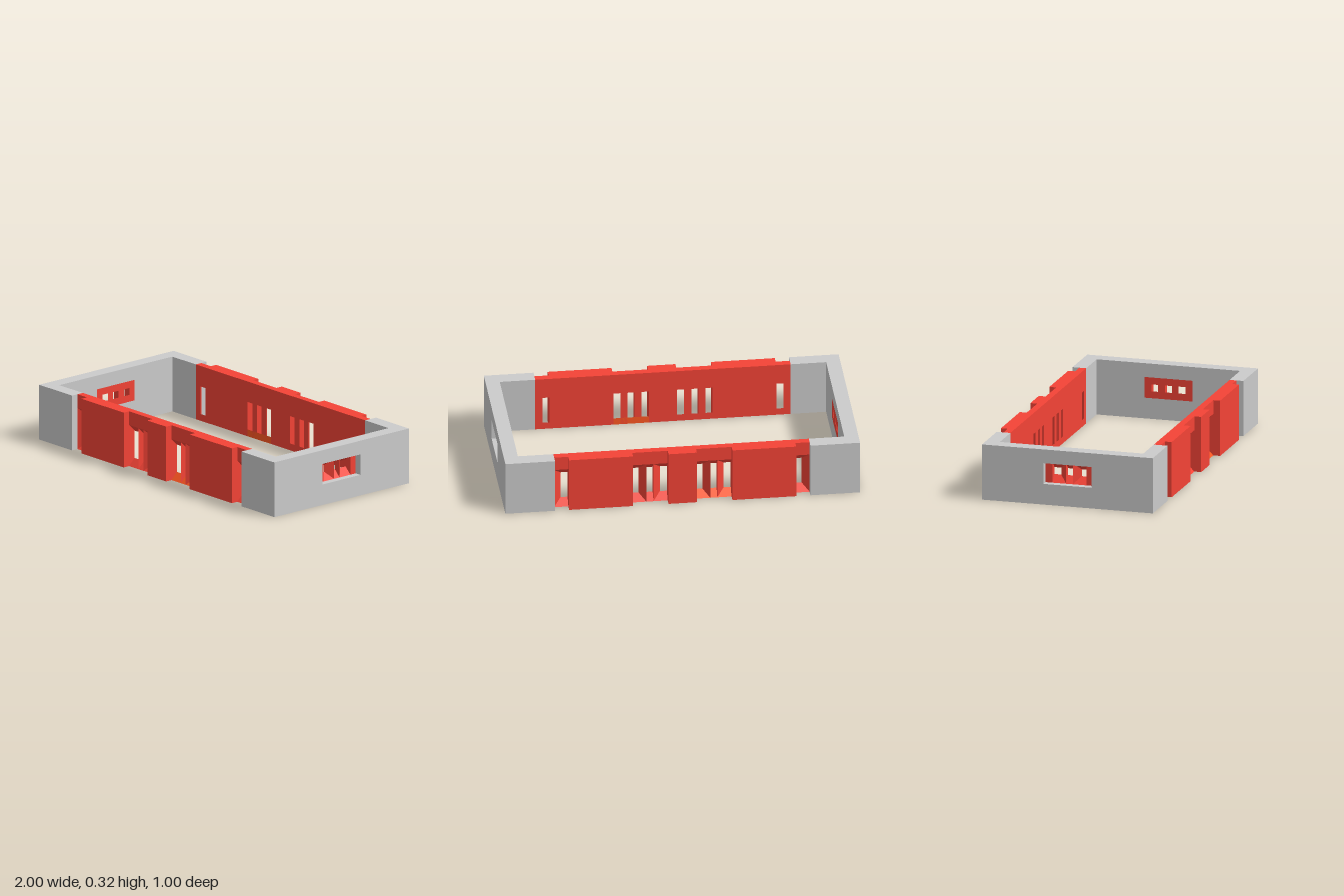
import * as THREE from 'three';

const H = 0.32, T = 0.08, D = 0.04; // wall height, wall thickness, panel thickness
const mat = (color) => new THREE.MeshStandardMaterial({ color, flatShading: true });
const grey = mat(0xcccccc), red = mat(0xf44336), orange = mat(0xff5722);

function add(group, name, geometry, material) {
  const mesh = new THREE.Mesh(geometry, material);
  mesh.name = name;
  group.add(mesh);
  return mesh;
}

function box(group, name, x0, x1, y0, y1, z0, z1, material) {
  const g = new THREE.BoxGeometry(x1 - x0, y1 - y0, z1 - z0);
  g.translate((x0 + x1) / 2, (y0 + y1) / 2, (z0 + z1) / 2);
  return add(group, name, g, material);
}

const extrude = (points, depth) => new THREE.ExtrudeGeometry(
  new THREE.Shape(points.map(([a, b]) => new THREE.Vector2(a, b))), { depth, bevelEnabled: false });

// Prism along x, section given as [z, y]
const prismX = (section, x0, x1) =>
  extrude(section.map(([z, y]) => [-z, y]), x1 - x0).rotateY(Math.PI / 2).translate(x0, 0, 0);

// Prism along y, plan given as [x, z]
const prismY = (plan, y0, y1) =>
  extrude(plan.map(([x, z]) => [x, -z]), y1 - y0).rotateX(-Math.PI / 2).translate(0, y0, 0);

// Sloping sill and soffit, narrowing the opening towards the inside
function splayedOpening(group, x0, x1, y0, y1, sillMaterial = red) {
  add(group, 'sill', prismX([[0, y0], [D, y0], [0, y0 + D]], x0, x1), sillMaterial);
  add(group, 'soffit', prismX([[0, y1], [D, y1], [0, y1 - D]], x0, x1), red);
}

// Three slits parted by two triangular mullions
function tripleWindow(group, cx, y0, y1, sillMaterial) {
  splayedOpening(group, cx - 0.1, cx + 0.1, y0, y1, sillMaterial);
  for (const s of [-1, 1]) {
    const plan = [[cx + s * 0.02, 0], [cx + s * 0.06, 0], [cx + s * 0.02, D]];
    add(group, 'mullion', prismY(plan, y0, y1), red);
  }
}

// Long wall: inner face at z = 0, outside towards +z
function longWall() {
  const g = new THREE.Group();
  const top = 0.24;
  for (const [x0, x1] of [[-0.64, -0.28], [-0.08, 0.08], [0.28, 0.64]])
    box(g, 'thickPanel', x0, x1, 0, H, 0, T, red);
  for (const s of [-1, 1]) {
    // three-slit window with its lintel
    box(g, 'lintel', s * 0.18 - 0.1, s * 0.18 + 0.1, top, H, 0, D, red);
    tripleWindow(g, s * 0.18, 0, top, s > 0 ? orange : red);
    // single slit beside the corner
    const x0 = s * 0.68 - 0.04, x1 = s * 0.68 + 0.04;
    box(g, 'lintel', x0, x1, top, H, 0, D, red);
    splayedOpening(g, x0, x1, 0, top);
    add(g, 'jamb', prismY([[s * 0.72, 0], [s * 0.68, 0], [s * 0.72, D]], 0, top), red);
    // grey corner return
    box(g, 'cornerReturn', s * 0.82 - 0.1, s * 0.82 + 0.1, 0, H, 0, T, grey);
  }
  return g;
}

// Short wall: same local frame, with a recessed window insert
function endWall() {
  const g = new THREE.Group();
  const shape = new THREE.Shape([[-0.5, 0], [0.5, 0], [0.5, H], [-0.5, H]].map((p) => new THREE.Vector2(...p)));
  shape.holes.push(new THREE.Path(
    [[-0.14, 0.12], [-0.14, 0.24], [0.14, 0.24], [0.14, 0.12]].map((p) => new THREE.Vector2(...p))));
  add(g, 'endWallSlab', new THREE.ExtrudeGeometry(shape, { depth: T, bevelEnabled: false }), grey);
  for (const s of [-1, 1])
    box(g, 'insertJamb', s * 0.12 - 0.02, s * 0.12 + 0.02, 0.12, 0.24, 0, D, red);
  tripleWindow(g, 0, 0.12, 0.24);
  return g;
}

export function createModel() {
  const model = new THREE.Group();
  model.name = 'wallRing';
  for (const s of [1, -1]) {
    const wall = longWall();
    wall.name = s > 0 ? 'frontWall' : 'backWall';
    wall.position.z = s * 0.42;
    wall.rotation.y = s > 0 ? 0 : Math.PI;
    const end = endWall();
    end.name = s > 0 ? 'leftWall' : 'rightWall';
    end.position.x = s * 0.92;
    end.rotation.y = s * Math.PI / 2;
    model.add(wall, end);
  }
  return model;
}
